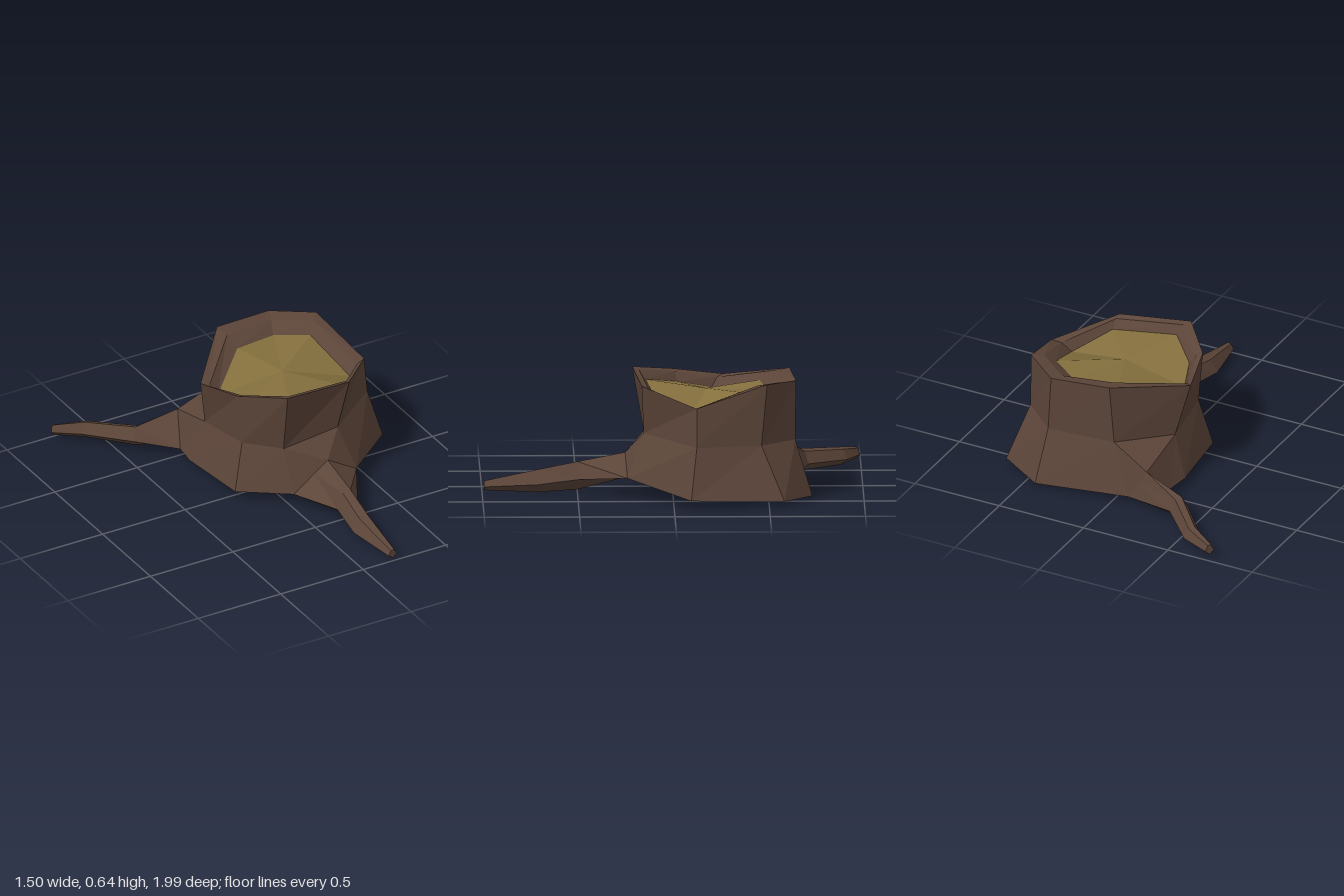
import * as THREE from 'three';

const lerp = (a, b, t) => a.map((v, i) => v + (b[i] - v) * t);

// Collects triangles and turns them into one faceted mesh
class Facets {
  constructor() { this.pos = []; }
  tri(a, b, c) {
    const [p, q, r] = [a, b, c].map((v) => new THREE.Vector3(...v));
    if (q.sub(p).cross(r.sub(p)).length() > 1e-7) this.pos.push(...a, ...b, ...c);
  }
  quad(a, b, c, d) { this.tri(a, b, c); this.tri(a, c, d); }
  // Skin between two closed rings; skip lists the sides left open
  band(lower, upper, skip = []) {
    lower.forEach((p, i) => {
      const n = (i + 1) % lower.length;
      if (!skip.includes(i)) this.quad(p, lower[n], upper[n], upper[i]);
    });
  }
  fan(ring, centre) {
    ring.forEach((p, i) => this.tri(p, ring[(i + 1) % ring.length], centre));
  }
  mesh(name, color) {
    const geo = new THREE.BufferGeometry();
    geo.setAttribute('position', new THREE.Float32BufferAttribute(this.pos, 3));
    geo.computeVertexNormals();
    const mesh = new THREE.Mesh(geo, new THREE.MeshStandardMaterial({ color, flatShading: true, roughness: 1 }));
    mesh.name = name;
    return mesh;
  }
}

const BARK = 0x5c4539, WOOD = 0x85703e;

// Trunk rings, starting at the front and running round by way of +x
const base = [[0.02, 0.065, 0.24], [0.4, 0.11, 0.24], [0.75, 0.045, -0.09], [0.68, 0.03, -0.58], [0.43, 0.02, -0.73],
  [-0.08, 0.035, -0.65], [-0.245, 0.045, -0.49], [-0.265, 0.05, -0.36], [-0.22, 0.05, 0.04]];
const waist = [[0.01, 0.3, 0.15], [0.335, 0.34, 0.155], [0.675, 0.315, -0.12], [0.6, 0.315, -0.46], [0.4, 0.315, -0.64],
  [0.03, 0.31, -0.6], [-0.19, 0.28, -0.33], [-0.19, 0.28, -0.33], [-0.155, 0.31, 0]];
const rim = [[0, 0.64, 0.21], [0.4, 0.6, 0.165], [0.655, 0.52, -0.12], [0.58, 0.635, -0.49], [0.38, 0.625, -0.645],
  [0.05, 0.64, -0.615], [-0.25, 0.56, -0.27], [-0.25, 0.56, -0.27], [-0.18, 0.6, 0]];
// Edge of the cut wood, sunk below the rim
const cut = [[0.05, 0.14], [0.405, 0.095], [0.55, -0.09], [0.485, -0.39], [0.325, -0.5],
  [0.08, -0.455], [-0.18, -0.21], [-0.18, -0.21], [-0.115, -0.03]]
  .map(([x, z], i) => [x, rim[i][1] - 0.06, z]);

// Each root grows out of one trunk side; sections are [x, z, half width, bottom, top]
const roots = [
  { name: 'frontRoot', side: 0, peak: [0.22, 0.22, 0.25], right: [1, 0],
    sections: [[0.195, 0.5, 0.062, 0.02, 0.17], [0.178, 0.71, 0.068, 0.003, 0.125], [0.185, 0.99, 0.025, 0.015, 0.065]] },
  { name: 'backRoot', side: 5, peak: [-0.18, 0.2, -0.63], right: [-0.7, 0.71],
    sections: [[-0.4, -0.685, 0.052, 0.02, 0.135], [-0.59, -0.895, 0.045, 0.018, 0.112], [-0.737, -0.98, 0.024, 0.03, 0.09]] },
];

function buildRoot({ name, side, peak, right, sections }) {
  const f = new Facets();
  const l = base[side], r = base[side + 1];
  const rings = [[r, peak, lerp(peak, l, 0.4), l, lerp(l, r, 0.5)]];
  for (const [x, z, w, lo, hi] of sections) {
    const at = (s, t) => [x + right[0] * w * s, lo + (hi - lo) * t, z + right[1] * w * s];
    rings.push([at(1, 0.4), at(0.3, 1), at(-0.4, 0.9), at(-1, 0.35), at(0.1, 0)]);
  }
  for (let i = 1; i < rings.length; i++) f.band(rings[i - 1], rings[i]);
  const tip = rings[rings.length - 1];
  f.fan(tip, lerp(tip[1], tip[4], 0.5));
  return f.mesh(name, BARK);
}

export function createModel() {
  const group = new THREE.Group();
  group.name = 'treeStump';

  // Bark: flared foot, upper trunk, sloping rim and sunken inner wall
  const bark = new Facets();
  const lip = rim.map((p, i) => {
    const [x, , z] = lerp(p, cut[i], 0.5);
    return [x, p[1] - 0.012, z];
  });
  bark.band(base, waist, roots.map((r) => r.side));
  for (const { side: i, peak } of roots) {
    bark.tri(base[i], peak, waist[i]);
    bark.tri(waist[i], peak, waist[i + 1]);
    bark.tri(base[i + 1], waist[i + 1], peak);
  }
  bark.band(waist, rim);
  bark.band(rim, lip);
  bark.band(lip, cut);
  bark.fan([...base].reverse(), [0.22, 0.05, -0.22]);
  group.add(bark.mesh('trunk', BARK));

  // Cut wood face
  const wood = new Facets();
  wood.fan(cut, [0.19, 0.555, -0.175]);
  group.add(wood.mesh('cutWood', WOOD));

  for (const root of roots) group.add(buildRoot(root));
  return group;
}
